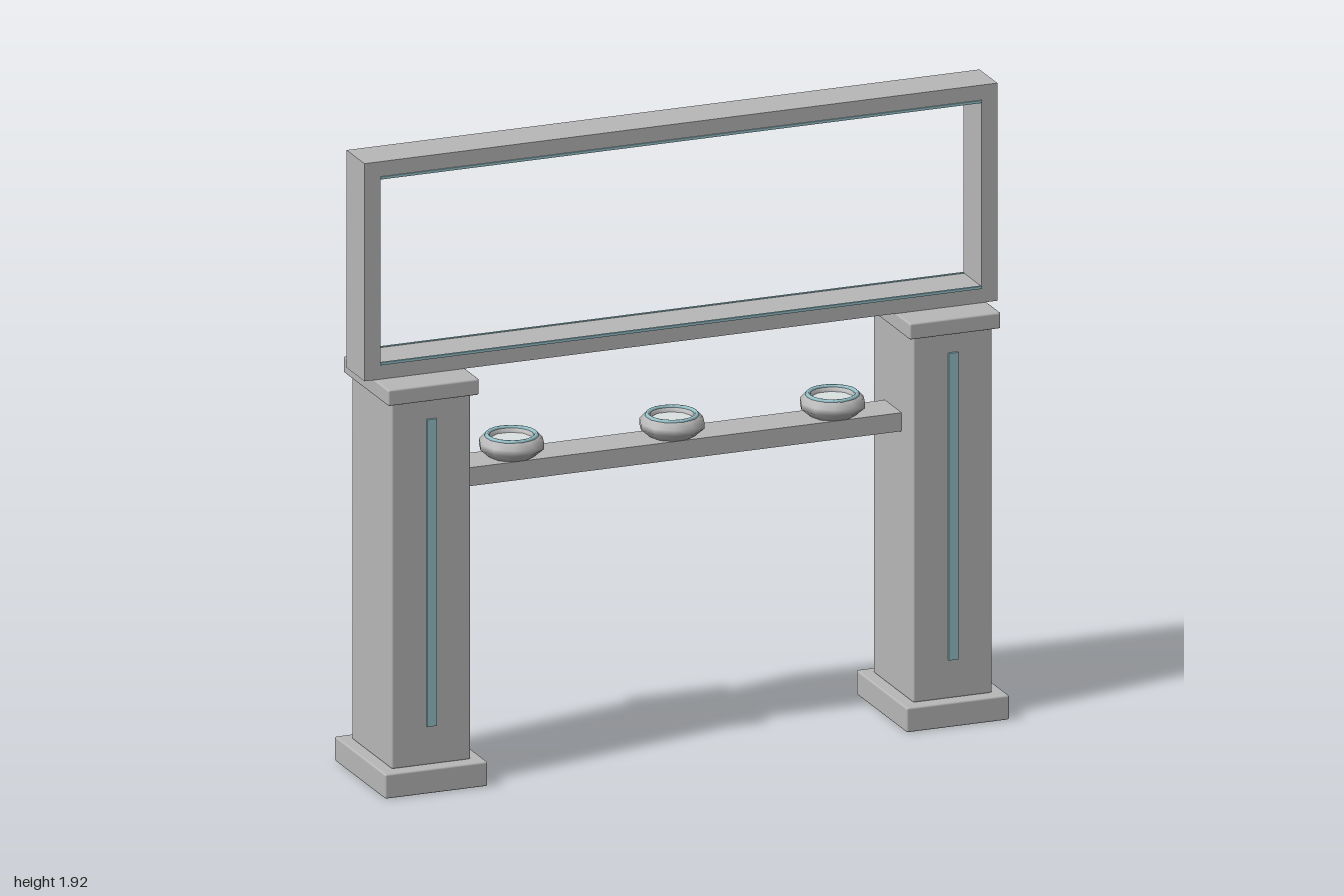
import * as THREE from 'three';
import { RoundedBoxGeometry } from 'three/addons/geometries/RoundedBoxGeometry.js';

export function createModel() {
  const model = new THREE.Group();
  model.name = 'displayGate';

  const metal = new THREE.MeshStandardMaterial({ color: 0xb8b8b8 });
  metal.name = 'greyMetal';
  const light = new THREE.MeshStandardMaterial({ color: 0x98c4cc });
  light.name = 'paleCyanLight';
  const lens = new THREE.MeshStandardMaterial({ color: 0xdce2e2 });
  lens.name = 'paleLens';

  function add(parent, name, geometry, material, x = 0, y = 0, z = 0) {
    const mesh = new THREE.Mesh(geometry, material);
    mesh.name = name;
    mesh.position.set(x, y, z);
    parent.add(mesh);
    return mesh;
  }
  const block = (w, h, d) => new RoundedBoxGeometry(w, h, d, 1, 0.006);

  // Two pillars, each with a foot, a cap and a light strip front and back
  for (const side of [-1, 1]) {
    const pillar = new THREE.Group();
    pillar.name = side > 0 ? 'leftPillar' : 'rightPillar';
    pillar.position.x = side * 0.824;
    model.add(pillar);
    add(pillar, 'foot', block(0.325, 0.076, 0.392), metal, 0, 0.038);
    add(pillar, 'column', block(0.25, 1.13, 0.31), metal, 0, 0.64);
    add(pillar, 'cap', block(0.288, 0.05, 0.35), metal, 0, 1.225);
    for (const face of [-1, 1]) {
      add(pillar, 'lightStrip', new THREE.BoxGeometry(0.03, 0.945, 0.009), light, 0, 0.667, face * 0.1585);
    }
  }

  // Open sign frame across the top
  const outline = new THREE.Shape();
  outline.moveTo(-1, 1.25).lineTo(1, 1.25).lineTo(1, 1.92).lineTo(-1, 1.92).closePath();
  const opening = new THREE.Path();
  opening.moveTo(-0.95, 1.3).lineTo(-0.95, 1.868).lineTo(0.95, 1.868).lineTo(0.95, 1.3).closePath();
  outline.holes.push(opening);
  const frame = new THREE.ExtrudeGeometry(outline, { depth: 0.138, bevelEnabled: false });
  add(model, 'signFrame', frame, metal, 0, 0, -0.069);

  // Thin light lines along the long edges of the opening
  for (const y of [1.298, 1.87]) {
    for (const face of [-1, 1]) {
      add(model, 'frameLight', new THREE.BoxGeometry(1.9, 0.008, 0.008), light, 0, y, face * 0.069);
    }
  }

  // Crossbar between the pillars
  add(model, 'crossbar', new THREE.BoxGeometry(1.42, 0.057, 0.13), metal, 0, 0.913, 0);

  // Three round emitters standing on the crossbar
  const ringProfile = [
    [0.066, 0.94], [0.076, 0.948], [0.098, 0.967], [0.098, 0.985],
    [0.082, 1.003], [0.066, 1.003], [0.064, 0.985],
  ].map(([r, y]) => new THREE.Vector2(r, y));
  const ringGeometry = new THREE.LatheGeometry(ringProfile, 10, Math.PI / 10);
  ringGeometry.rotateY(0);
  for (const x of [-0.507, 0, 0.507]) {
    const emitter = new THREE.Group();
    emitter.name = 'emitter';
    emitter.position.x = x;
    model.add(emitter);
    add(emitter, 'emitterRing', ringGeometry, metal);
    // Glowing rim and recessed lens
    const rim = add(emitter, 'emitterRim', new THREE.TorusGeometry(0.073, 0.007, 6, 20), light, 0, 1.003);
    rim.rotation.x = Math.PI / 2;
    add(emitter, 'emitterLens', new THREE.CylinderGeometry(0.067, 0.067, 0.008, 20), lens, 0, 0.986);
  }

  return model;
}
